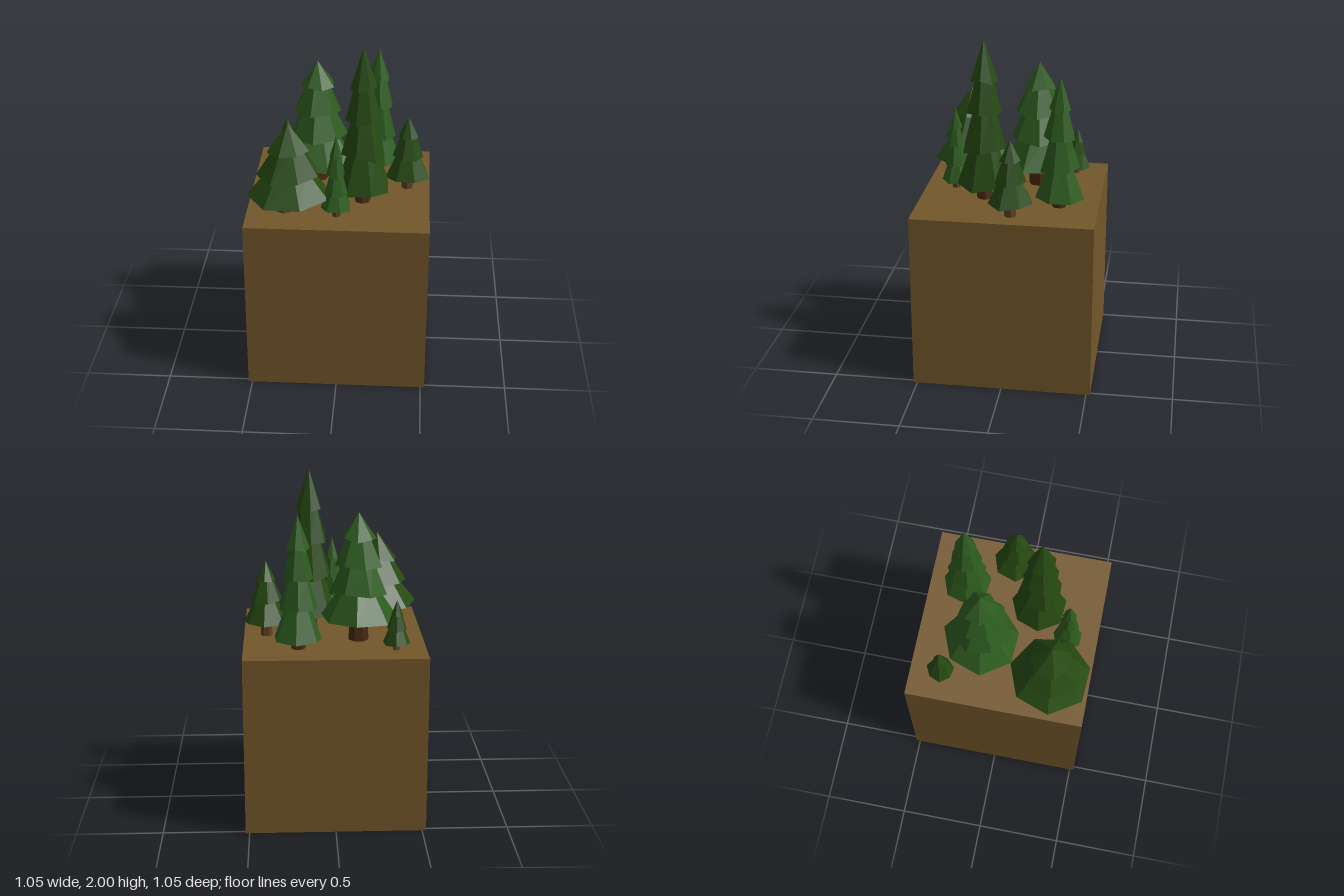
import * as THREE from 'three';

const SIDES = 7;
const GROUND = 1.05;
const DARK = 0x264a12, LIGHT = 0x2d5c1f;

const paint = (color) => new THREE.MeshStandardMaterial({ color, flatShading: true });

// Repeatable value in -1..1
function wobble(seed) {
  const s = Math.sin(seed * 127.1 + 11.7) * 43758.5453;
  return (s - Math.floor(s)) * 2 - 1;
}

// One skirt of branches: a faceted frustum with an uneven rim and hollow underside
function makeTier(rTop, rBottom, y0, y1, phase, seed) {
  const h = y1 - y0;
  const g = new THREE.CylinderGeometry(rTop, rBottom, h, SIDES, 1, false, phase);
  g.translate(0, y0 + h / 2, 0);
  const p = g.attributes.position;
  for (let i = 0; i < p.count; i++) {
    if (p.getY(i) > y0 + h / 2) continue;
    const x = p.getX(i), z = p.getZ(i);
    if (Math.hypot(x, z) < 1e-5) {
      p.setY(i, y0 + h * 0.25);
      continue;
    }
    const side = Math.round(((Math.atan2(x, z) - phase) / (Math.PI * 2)) * SIDES + SIDES * 2) % SIDES;
    const k = 1 + 0.05 * wobble(seed * 13 + side);
    p.setXYZ(i, x * k, y0 + 0.07 * h * wobble(seed * 29 + side), z * k);
  }
  g.computeVertexNormals();
  return g;
}

// x, z, height of tip, tiers from the top as [lower edge, radius], trunk radius, trunk lean
const TREES = [
  { name: 'broadFrontTree', x: -0.28, z: 0.29, top: 1.59, leaf: DARK, bark: 0x664a26, trunk: 0.052, lean: -0.03,
    tiers: [[1.43, 0.12], [1.29, 0.18], [1.15, 0.243]] },
  { name: 'broadBackTree', x: -0.145, z: -0.135, top: 1.8, leaf: LIGHT, bark: 0x46290f, trunk: 0.06, lean: 0,
    tiers: [[1.65, 0.1], [1.5, 0.14], [1.34, 0.17], [1.18, 0.222]] },
  { name: 'tallTree', x: 0.133, z: 0.15, top: 2.0, leaf: DARK, bark: 0x4c2f12, trunk: 0.047, lean: 0,
    tiers: [[1.76, 0.08], [1.57, 0.105], [1.36, 0.13], [1.14, 0.163]] },
  { name: 'slimBackTree', x: 0.207, z: -0.295, top: 1.82, leaf: LIGHT, bark: 0x46290f, trunk: 0.042, lean: 0,
    tiers: [[1.63, 0.065], [1.46, 0.09], [1.28, 0.112], [1.11, 0.142]] },
  { name: 'sideTree', x: 0.39, z: -0.036, top: 1.5, leaf: DARK, bark: 0x5c4020, trunk: 0.035, lean: 0,
    tiers: [[1.38, 0.06], [1.26, 0.092], [1.13, 0.133]] },
  { name: 'smallFrontTree', x: -0.008, z: 0.345, top: 1.55, leaf: LIGHT, bark: 0x5c4020, trunk: 0.024, lean: 0,
    tiers: [[1.42, 0.04], [1.31, 0.053], [1.2, 0.067], [1.1, 0.087]] },
  { name: 'smallBackTree', x: -0.35, z: -0.343, top: 1.34, leaf: DARK, bark: 0x664a26, trunk: 0.022, lean: 0,
    tiers: [[1.25, 0.036], [1.17, 0.056], [1.09, 0.08]] },
];

function makeTree(t, index) {
  const tree = new THREE.Group();
  tree.name = t.name;
  tree.position.set(t.x, 0, t.z);

  // Trunk reaches up inside the lowest tier
  const lowest = t.tiers[t.tiers.length - 1][0];
  const trunkHeight = lowest + 0.06 - GROUND;
  const trunkShape = new THREE.CylinderGeometry(t.trunk * 0.85, t.trunk, trunkHeight, SIDES);
  const p = trunkShape.attributes.position;
  for (let i = 0; i < p.count; i++) if (p.getY(i) < 0) p.setX(i, p.getX(i) + t.lean);
  const trunk = new THREE.Mesh(trunkShape, paint(t.bark));
  trunk.name = 'trunk';
  trunk.position.y = GROUND + trunkHeight / 2;
  tree.add(trunk);

  // Foliage tiers, each tucked up into the one above
  const leaves = paint(t.leaf);
  t.tiers.forEach(([y0, r], i) => {
    const above = t.tiers[i - 1];
    const y1 = above ? above[0] + 0.03 : t.top;
    const rTop = above ? above[1] * 0.6 : 0;
    const isLowest = i === t.tiers.length - 1;
    const seed = index * 5 + i + 1;
    const phase = Math.PI - 0.1 + (isLowest ? 0 : wobble(seed) * 0.45);
    const tier = new THREE.Mesh(makeTier(rTop, r, y0, y1, phase, seed), leaves);
    tier.name = 'foliageTier' + (i + 1);
    tree.add(tier);
  });
  return tree;
}

export function createModel() {
  const model = new THREE.Group();
  model.name = 'forestBlock';

  // Block of earth
  const earth = new THREE.Mesh(new THREE.BoxGeometry(1.046, GROUND, 1.046), paint(0x73572a));
  earth.name = 'earthBlock';
  earth.position.y = GROUND / 2;
  model.add(earth);

  TREES.forEach((t, i) => model.add(makeTree(t, i)));
  return model;
}
